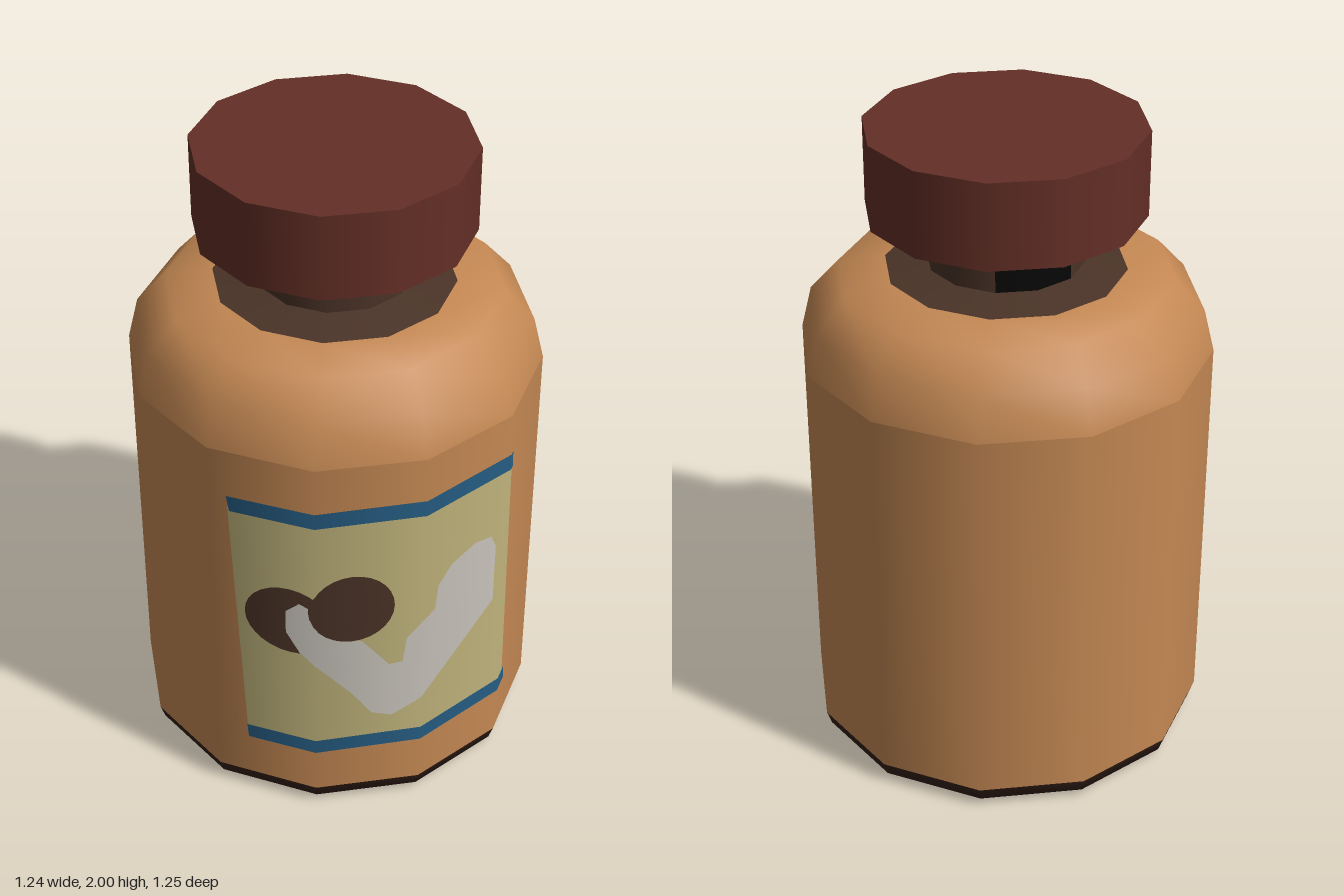
import * as THREE from 'three';

const SIDES = 12;
const R = 0.622; // corner radius of the bottle body

const mat = (name, color) => {
  const m = new THREE.MeshStandardMaterial({ color });
  m.name = name;
  return m;
};

// Part of a polygon lying on one side of a vertical line
function clip(points, x0, keepRight) {
  const out = [];
  const inside = (p) => (keepRight ? p[0] >= x0 : p[0] <= x0);
  points.forEach((a, i) => {
    const b = points[(i + 1) % points.length];
    if (inside(a)) out.push(a);
    if (inside(a) !== inside(b)) {
      const t = (x0 - a[0]) / (b[0] - a[0]);
      out.push([x0, a[1] + t * (b[1] - a[1])]);
    }
  });
  return out;
}

const ellipse = (cx, cy, rx, ry) => Array.from({ length: 28 }, (_, i) => {
  const a = (i / 28) * Math.PI * 2;
  return [cx + rx * Math.cos(a), cy + ry * Math.sin(a)];
});

export function createModel() {
  const model = new THREE.Group();
  model.name = 'bottle';

  const amber = mat('amber glass', 0xc48853);
  const red = mat('cap red brown', 0x642f26);
  const brown = mat('dark brown', 0x4a3327);
  const base = mat('base brown', 0x352018);
  const black = mat('black', 0x080706);
  const cream = mat('label cream', 0xbfb37b);
  const blue = mat('label blue', 0x265d83);
  const pale = mat('arm grey', 0xc8c3bb);

  const add = (name, geometry, material, parent = model) => {
    const mesh = new THREE.Mesh(geometry, material);
    mesh.name = name;
    parent.add(mesh);
    return mesh;
  };

  // Twelve-sided turned surface, profile listed from bottom to top
  const turn = (name, profile, material, start = 0, steps = SIDES) => add(
    name,
    new THREE.LatheGeometry(
      profile.map(([x, y]) => new THREE.Vector2(x, y)),
      steps, start * Math.PI / 6, steps * Math.PI / 6),
    material);

  // Bottle
  turn('bottom', [[0, 0], [0.54, 0]], black);
  turn('baseBevel', [[0.54, 0], [0.607, 0.025], [R, 0.07]], base);
  turn('body', [[R, 0.07], [R, 1.31]], amber);
  turn('shoulder', [[R, 1.31], [0.59, 1.44], [0.5, 1.54], [0.36, 1.561]], amber);
  turn('shoulderRing', [[0.36, 1.561], [0.235, 1.58]], brown);

  // Neck, with a black panel at the back
  turn('neck', [[0.235, 1.575], [0.235, 1.74]], brown, 7, 10);
  turn('neckBackPanel', [[0.235, 1.575], [0.235, 1.74]], black, 5, 2);

  // Cap
  turn('capUnderside', [[0.2, 1.737], [0.415, 1.737]], black);
  turn('capSide', [[0.415, 1.737], [0.415, 2]], red);
  turn('capTop', [[0.415, 2], [0, 2]], red);

  // Label pieces, folded around the facets of the body
  const label = new THREE.Group();
  label.name = 'label';
  model.add(label);

  const stick = (name, points, material, layer) => {
    const r = R + 0.003 * layer;
    for (let k = -3; k < 3; k++) {
      const [a0, a1] = [k * Math.PI / 6, (k + 1) * Math.PI / 6];
      const [x0, x1] = [r * Math.sin(a0), r * Math.sin(a1)];
      const [z0, z1] = [r * Math.cos(a0), r * Math.cos(a1)];
      const piece = clip(clip(points, x0, true), x1, false);
      if (piece.length < 3) continue;
      const geometry = new THREE.ShapeGeometry(
        new THREE.Shape(piece.map(([x, y]) => new THREE.Vector2(x, y))));
      const pos = geometry.attributes.position;
      for (let i = 0; i < pos.count; i++) {
        const x = pos.getX(i);
        const z = z0 + (z1 - z0) * (x - x0) / (x1 - x0);
        pos.setZ(i, z);
        const len = Math.hypot(x, z);
        geometry.attributes.normal.setXYZ(i, x / len, 0, z / len);
      }
      add(name, geometry, material, label);
    }
  };

  stick('labelPaper', [[-0.47, 0.26], [0.35, 0.28], [0.325, 1.13], [-0.5, 1.12]], cream, 1);
  stick('labelTopStripe', [[-0.497, 1.105], [0.328, 1.12], [0.325, 1.175], [-0.503, 1.157]], blue, 2);
  stick('labelBottomStripe', [[-0.47, 0.225], [0.36, 0.242], [0.355, 0.293], [-0.473, 0.275]], blue, 2);

  // Flexed arm holding a dumbbell
  stick('rearWeight', ellipse(-0.37, 0.743, 0.1, 0.122), brown, 2);
  stick('arm', [
    [-0.38, 0.78], [-0.35, 0.82], [-0.33, 0.81], [-0.32, 0.76], [-0.29, 0.71],
    [-0.25, 0.68], [-0.18, 0.67], [-0.1, 0.565], [-0.06, 0.57], [-0.05, 0.66],
    [0, 0.725], [0.04, 0.745], [0.05, 0.83], [0.1, 0.885], [0.19, 0.915],
    [0.25, 0.905], [0.27, 0.86], [0.27, 0.65], [0.12, 0.52], [-0.02, 0.4],
    [-0.09, 0.355], [-0.15, 0.375], [-0.21, 0.465], [-0.29, 0.56],
    [-0.35, 0.63], [-0.38, 0.7],
  ], pale, 3);
  stick('frontWeight', ellipse(-0.21, 0.8, 0.122, 0.124), brown, 4);

  return model;
}
